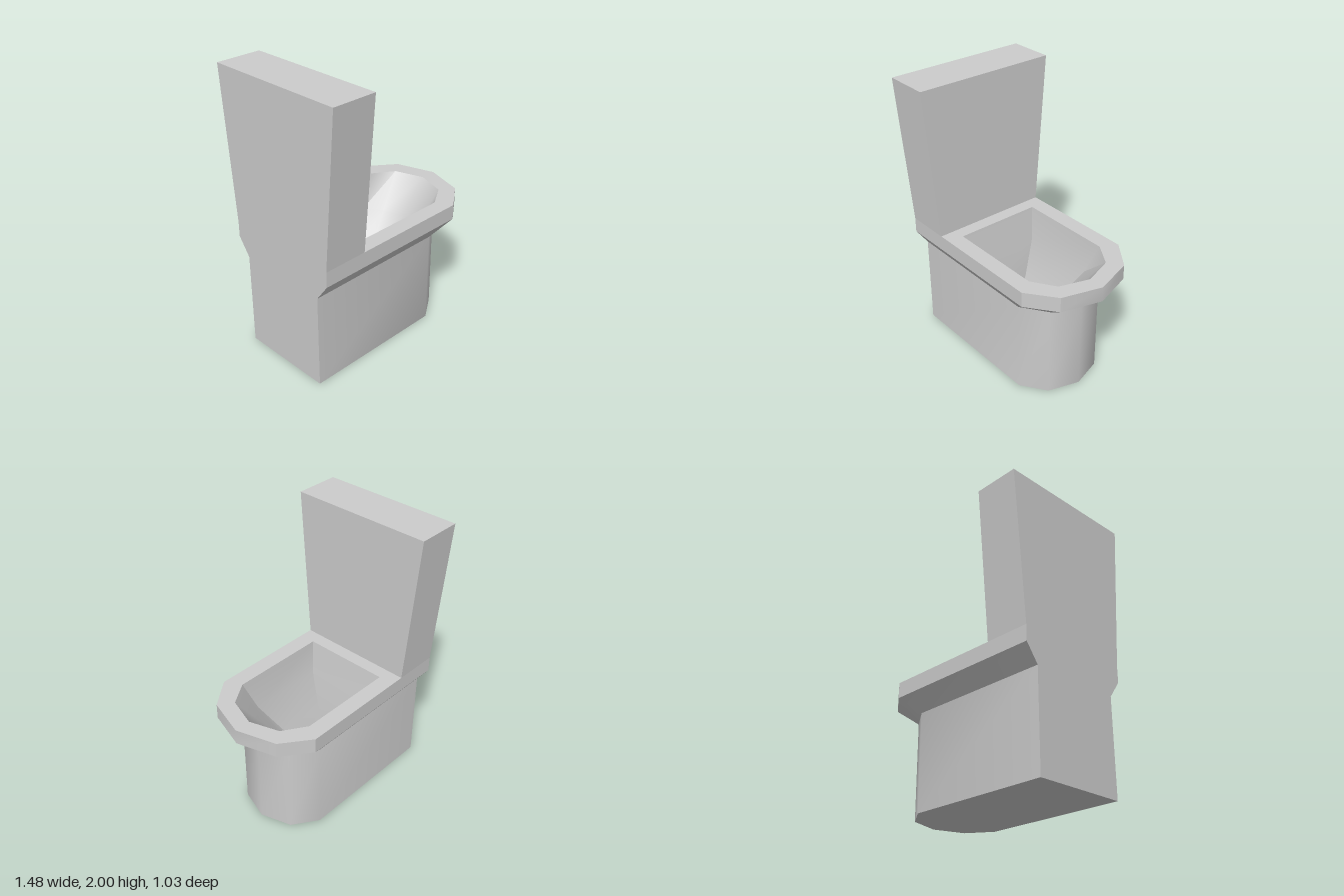
import * as THREE from 'three';
import { toCreasedNormals } from 'three/addons/utils/BufferGeometryUtils.js';

const material = new THREE.MeshStandardMaterial({ color: 0xcccccc });

// Bullet-shaped outline: square back, pointed round front, mirrored in z.
function ring(y, back, width, shoulder, knee, kneeWidth, tip) {
  return [
    [back, y, width], [shoulder, y, width], [knee, y, kneeWidth], [tip, y, 0],
    [knee, y, -kneeWidth], [shoulder, y, -width], [back, y, -width],
  ];
}

// Joins successive rings with walls, optionally closing the first and last.
function loft(name, rings, crease, capFirst = false, capLast = false) {
  const n = rings[0].length;
  const index = [];
  for (let r = 0; r < rings.length - 1; r++) {
    for (let i = 0; i < n; i++) {
      const j = (i + 1) % n;
      const a = r * n, b = a + n;
      index.push(a + i, a + j, b + j, a + i, b + j, b + i);
    }
  }
  const last = (rings.length - 1) * n;
  for (let i = 1; i < n - 1; i++) {
    if (capFirst) index.push(0, i + 1, i);
    if (capLast) index.push(last, last + i, last + i + 1);
  }
  const geometry = new THREE.BufferGeometry();
  geometry.setAttribute('position', new THREE.Float32BufferAttribute(rings.flat(2), 3));
  geometry.setIndex(index);
  const mesh = new THREE.Mesh(toCreasedNormals(geometry, crease), material);
  mesh.name = name;
  return mesh;
}

export function createModel() {
  const model = new THREE.Group();
  model.name = 'toilet';

  const foot = ring(0, -0.74, 0.34, 0.31, 0.485, 0.22, 0.555);
  const neck = ring(0.68, -0.74, 0.34, 0.31, 0.485, 0.22, 0.555);
  const rimLow = ring(0.805, -0.74, 0.43, 0.45, 0.65, 0.28, 0.737);
  const rimTop = ring(0.915, -0.74, 0.43, 0.45, 0.65, 0.28, 0.737);
  const mouth = ring(0.915, -0.32, 0.315, 0.385, 0.55, 0.21, 0.62);

  // Pedestal, flared underside and flat-topped rim
  model.add(loft('pedestal', [foot, neck], 0.7, true));
  model.add(loft('flare', [neck, rimLow], 0.7));
  model.add(loft('rim', [rimLow, rimTop, mouth], 0.62));

  // Hollow bowl, narrowing towards a small floor near the back
  model.add(loft('bowl', [
    mouth,
    ring(0.67, -0.285, 0.285, 0.28, 0.375, 0.165, 0.43),
    ring(0.41, -0.245, 0.19, 0.125, 0.19, 0.118, 0.228),
    ring(0.2, -0.235, 0.115, -0.01, 0.04, 0.08, 0.065),
  ], 0.62, false, true));

  // Tall tank, widening upwards
  const tankGeometry = new THREE.BoxGeometry(0.325, 1.085, 2);
  const position = tankGeometry.attributes.position;
  for (let i = 0; i < position.count; i++) {
    position.setZ(i, position.getZ(i) * (position.getY(i) > 0 ? 0.517 : 0.43));
  }
  const tank = new THREE.Mesh(toCreasedNormals(tankGeometry, 0.5), material);
  tank.name = 'tank';
  tank.position.set(-0.5775, 1.4575, 0);
  model.add(tank);

  return model;
}
